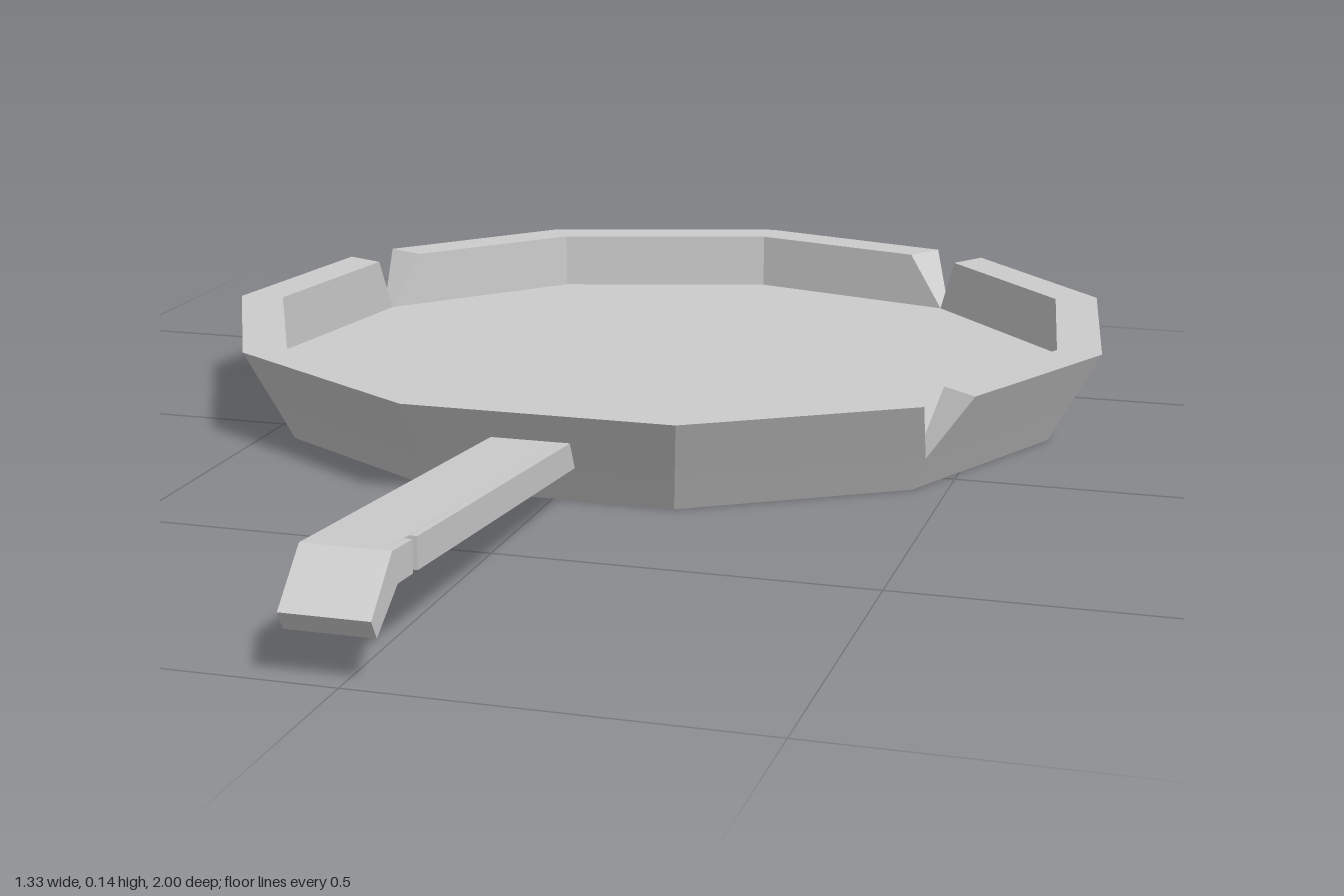
import * as THREE from 'three';

const SIDES = 11;
const STEP = (Math.PI * 2) / SIDES;
const CENTRE_Z = -0.326;
const FLOOR_Y = 0.05, RIM_Y = 0.135;
const BOTTOM_R = 0.6, FLOOR_R = 0.627, RIM_R = 0.674, INNER_R = 0.608;

// Point on the pan's polygon outline; the angle runs from the back towards +x.
function rimPoint(radius, y, angle) {
  const local = ((angle % STEP) + STEP) % STEP;
  const r = radius * Math.cos(STEP / 2) / Math.cos(local - STEP / 2);
  return [r * Math.sin(angle), y, CENTRE_Z - r * Math.cos(angle)];
}

// Wall cross-section at a corner; its top is shifted along the rim to slope a notch.
function wallSection(corner, shiftDegrees = 0) {
  const a = corner * STEP, shift = THREE.MathUtils.degToRad(shiftDegrees);
  return [
    rimPoint(FLOOR_R, FLOOR_Y, a),
    rimPoint(RIM_R, RIM_Y, a + shift),
    rimPoint(INNER_R, RIM_Y, a + shift * RIM_R / INNER_R),
    rimPoint(INNER_R, FLOOR_Y, a),
  ];
}

// One stretch of wall between two notches
function wallGeometry(from, to) {
  const sections = [];
  for (let k = from.corner; k <= to.corner; k++) {
    const shift = k === from.corner ? from.after : k === to.corner ? to.before : 0;
    sections.push(wallSection(k, shift));
  }
  const positions = [];
  const quad = (a, b, c, d) => positions.push(...a, ...b, ...c, ...a, ...c, ...d);
  for (let j = 0; j < sections.length - 1; j++) {
    const s = sections[j], t = sections[j + 1];
    for (let k = 0; k < 3; k++) quad(s[k], s[k + 1], t[k + 1], t[k]);
  }
  const first = sections[0], last = sections[sections.length - 1];
  quad(first[0], first[3], first[2], first[1]);
  quad(last[0], last[1], last[2], last[3]);
  const geometry = new THREE.BufferGeometry();
  geometry.setAttribute('position', new THREE.Float32BufferAttribute(positions, 3));
  geometry.computeVertexNormals();
  return geometry;
}

// Side profile given as [z, y], extruded across x
function profileGeometry(points, x0, x1) {
  const shape = new THREE.Shape(points.map(([z, y]) => new THREE.Vector2(z, y)));
  const geometry = new THREE.ExtrudeGeometry(shape, { depth: x1 - x0, bevelEnabled: false });
  geometry.rotateY(-Math.PI / 2);
  geometry.translate(x1, 0, 0);
  return geometry;
}

export function createModel() {
  const metal = new THREE.MeshStandardMaterial({ color: 0xcccccc });
  metal.name = 'light grey metal';
  metal.flatShading = true;

  const model = new THREE.Group();
  model.name = 'fryingPan';
  const add = (name, geometry, parent = model) => {
    const mesh = new THREE.Mesh(geometry, metal);
    mesh.name = name;
    parent.add(mesh);
    return mesh;
  };

  // Solid base, whose top is the cooking surface
  const base = new THREE.CylinderGeometry(FLOOR_R, BOTTOM_R, FLOOR_Y, SIDES);
  base.rotateY(Math.PI);
  base.translate(0, FLOOR_Y / 2, CENTRE_Z);
  add('base', base);

  // Three wall stretches, parted by V-shaped notches
  const notches = [
    { corner: 1, before: -4.8, after: 3.2 },
    { corner: 4, before: -5, after: 3 },
    { corner: 9, before: -3.4, after: 4.5 },
  ];
  const wall = new THREE.Group();
  wall.name = 'wall';
  model.add(wall);
  notches.forEach((notch, i) => {
    const next = notches[(i + 1) % notches.length];
    const end = next.corner > notch.corner ? next : { ...next, corner: next.corner + SIDES };
    add('wallSegment' + (i + 1), wallGeometry(notch, end), wall);
  });

  // Handle with a bent tip and a small nick on its left edge
  const handle = new THREE.Group();
  handle.name = 'handle';
  model.add(handle);
  const root = [[0.27, 0.053], [0.27, 0.091]];
  const nickBack = [[0.858, 0.134], [0.858, 0.094]];
  const nickFront = [[0.873, 0.095], [0.873, 0.135]];
  const tip = [[0.935, 0.14], [1, 0.08], [0.985, 0.056], [0.92, 0.098]];
  add('handleBar', profileGeometry([...root, ...tip], -0.07, 0.03), handle);
  add('handleEdge', profileGeometry([...root, ...nickBack], 0.03, 0.04), handle);
  add('handleTipEdge', profileGeometry([...nickFront, ...tip], 0.03, 0.04), handle);

  return model;
}
